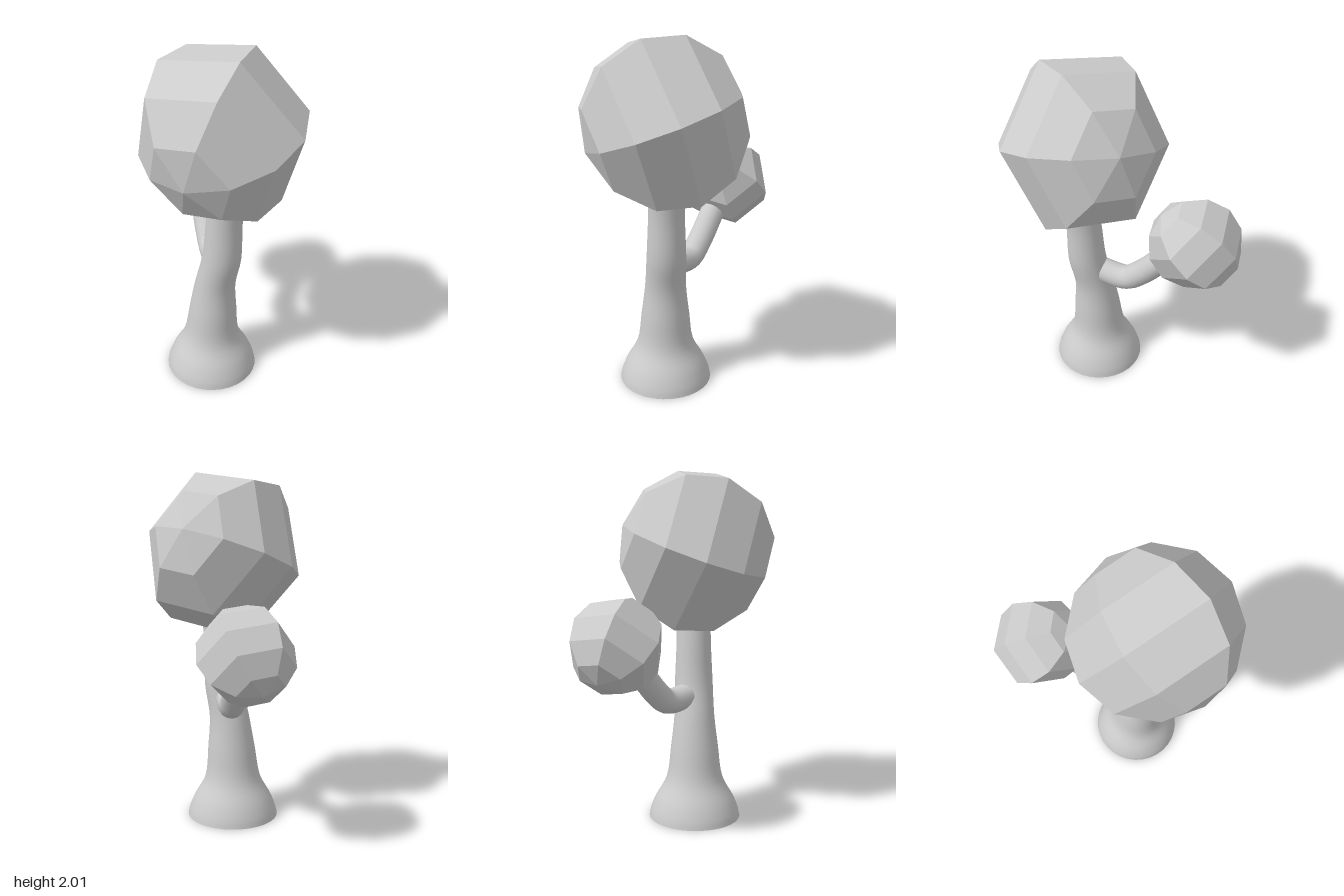
import * as THREE from 'three';
import { toCreasedNormals } from 'three/addons/utils/BufferGeometryUtils.js';

const v = (x, y, z) => new THREE.Vector3(x, y, z);

export function createModel() {
  const group = new THREE.Group();
  const smooth = new THREE.MeshStandardMaterial({ color: 0xcccccc });
  const faceted = new THREE.MeshStandardMaterial({ color: 0xcccccc, flatShading: true });

  const add = (name, geometry, material) => {
    const mesh = new THREE.Mesh(geometry, material);
    mesh.name = name;
    group.add(mesh);
    return mesh;
  };

  // Trunk: each station is (radius, height, sideways shift of the centre)
  const stations = new THREE.CatmullRomCurve3([
    v(0.267, 0, 0.06), v(0.258, 0.04, 0.06), v(0.23, 0.11, 0.06), v(0.165, 0.23, 0.06),
    v(0.138, 0.42, 0.07), v(0.117, 0.6, 0.085), v(0.111, 0.79, 0.127),
    v(0.101, 1.02, 0.142), v(0.1, 1.15, 0.155), v(0.1, 1.3, 0.17),
  ]).getPoints(36);
  const profile = stations.map((s) => new THREE.Vector2(s.x, s.y));
  const trunk = new THREE.LatheGeometry([new THREE.Vector2(0, 0), ...profile], 32);
  const pos = trunk.attributes.position;
  for (let i = 0; i < pos.count; i++) {
    const row = Math.max(0, (i % (stations.length + 1)) - 1);
    pos.setX(i, pos.getX(i) + stations[row].z);
    pos.setZ(i, pos.getZ(i) + 0.128);
  }
  add('trunk', toCreasedNormals(trunk, 0.9), smooth);

  // Side branch, bending up and back to the small crown
  const branchPath = new THREE.CatmullRomCurve3([
    v(0.08, 0.72, 0.1), v(-0.05, 0.71, -0.04), v(-0.115, 0.775, -0.105),
    v(-0.21, 0.917, -0.2), v(-0.31, 1.04, -0.29),
  ]);
  add('branch', new THREE.TubeGeometry(branchPath, 24, 0.072, 16), smooth);

  // Crowns: six-sided faceted balls, set by centre, side, pole and depth axes
  const crown = (name, centre, side, pole, depth) => {
    const matrix = new THREE.Matrix4().makeBasis(side, pole, depth).setPosition(centre);
    add(name, new THREE.SphereGeometry(1, 6, 6).applyMatrix4(matrix), faceted);
  };
  crown('largeCrown', v(0.13, 1.555, 0.135),
    v(0.45, 0.065, -0.016), v(0.035, -0.139, 0.417), v(0.0635, -0.476, -0.164));

  const pole = v(-0.64, -0.67, -0.375).normalize();
  const side = v(-0.7, 0, 0.7).projectOnPlane(pole).normalize();
  const depth = side.clone().cross(pole);
  const size = 0.262;
  crown('smallCrown', v(-0.337, 1.068, -0.315),
    side.multiplyScalar(size), pole.multiplyScalar(size), depth.multiplyScalar(size));

  return group;
}
